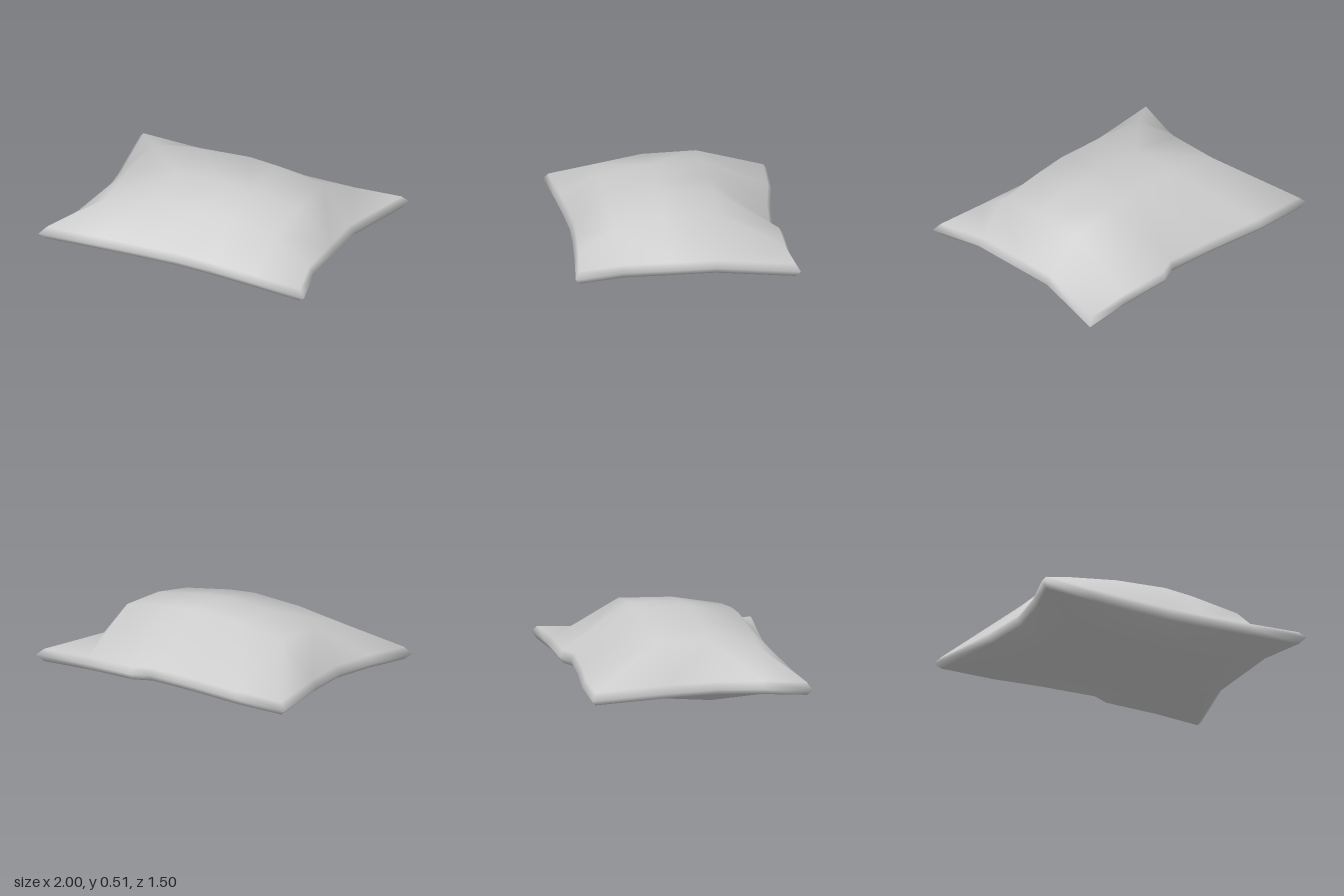
import * as THREE from 'three';

// Control grid: 7 columns along x, 5 rows along z
const COLS = 7, ROWS = 5;
const xs = [0, -0.63, -0.28, 0.08, 0.28, 0.62, 0];
const zs = [0, -0.24, 0.12, 0.45, 0];

// Seam outline, pinched inwards between the corners
const back = [[-1, -0.755], [-0.61, -0.74], [-0.23, -0.69], [0.15, -0.66], [0.27, -0.715], [0.65, -0.715], [1, -0.745]];
const front = [[-0.99, 0.73], [-0.6, 0.7], [-0.28, 0.68], [0, 0.67], [0.25, 0.68], [0.62, 0.71], [0.98, 0.745]];
const left = [null, [0.87, -0.21], [0.88, 0.1], [0.89, 0.43]];
const right = [null, [-0.89, -0.22], [-0.85, 0.12], [-0.9, 0.43]];

// Heights of the stuffed faces: column height plus row offset
const top = { col: [0, 0.44, 0.495, 0.52, 0.505, 0.455], row: [0, 0, -0.01, -0.07], seam: 0.205 };
const bottom = { col: [0, 0.035, 0.01, 0.005, 0.015, 0.05], row: [0, 0.03, 0, 0.025], seam: 0.12 };

function seamPoint(i, j) {
  if (j === 0) return back[i];
  if (j === ROWS - 1) return front[i];
  if (i === 0) return right[j];
  if (i === COLS - 1) return left[j];
  return null;
}

export function createModel() {
  const positions = [], indices = [];
  const add = (x, y, z) => positions.push(x, y, z) / 3 - 1;

  // One face of the pillow; its border is drawn in slightly from the seam
  function face(side) {
    const ids = [];
    for (let j = 0; j < ROWS; j++) {
      for (let i = 0; i < COLS; i++) {
        const p = seamPoint(i, j);
        if (p) ids.push(add(p[0] * 0.955, side.seam + 0.005 * p[0], p[1] * 0.96));
        else ids.push(add(xs[i], side.col[i] + side.row[j], zs[j]));
      }
    }
    for (let j = 0; j < ROWS - 1; j++) {
      for (let i = 0; i < COLS - 1; i++) {
        const a = ids[j * COLS + i], b = ids[j * COLS + i + 1];
        const c = ids[(j + 1) * COLS + i + 1], d = ids[(j + 1) * COLS + i];
        // the diagonal runs out to the corners on one half
        const tris = j < 2 ? [a, d, c, a, c, b] : [a, d, b, d, c, b];
        if (side === bottom) tris.reverse();
        indices.push(...tris);
      }
    }
    return ids;
  }
  const topIds = face(top), bottomIds = face(bottom);

  // Seam loop, from the back right corner by the right side to the front
  const loop = [];
  for (let j = 0; j < ROWS - 1; j++) loop.push([0, j]);
  for (let i = 0; i < COLS - 1; i++) loop.push([i, ROWS - 1]);
  for (let j = ROWS - 1; j > 0; j--) loop.push([COLS - 1, j]);
  for (let i = COLS - 1; i > 0; i--) loop.push([i, 0]);
  const seam = loop.map(([i, j]) => {
    const [x, z] = seamPoint(i, j);
    return add(x, 0.16 + 0.008 * x, z);
  });

  // Piped edge joining both faces to the seam
  loop.forEach(([i, j], k) => {
    const n = (k + 1) % loop.length, [i2, j2] = loop[n];
    const t1 = topIds[j * COLS + i], t2 = topIds[j2 * COLS + i2];
    const b1 = bottomIds[j * COLS + i], b2 = bottomIds[j2 * COLS + i2];
    const s1 = seam[k], s2 = seam[n];
    indices.push(t1, s1, s2, t1, s2, t2, s1, b1, b2, s1, b2, s2);
  });

  const geometry = new THREE.BufferGeometry();
  geometry.setAttribute('position', new THREE.Float32BufferAttribute(positions, 3));
  geometry.setIndex(indices);
  geometry.computeVertexNormals();

  const pillow = new THREE.Mesh(geometry, new THREE.MeshStandardMaterial({ color: 0xcccccc, side: THREE.DoubleSide }));
  pillow.name = 'pillow';
  const group = new THREE.Group();
  group.name = 'cushion';
  group.add(pillow);
  return group;
}
